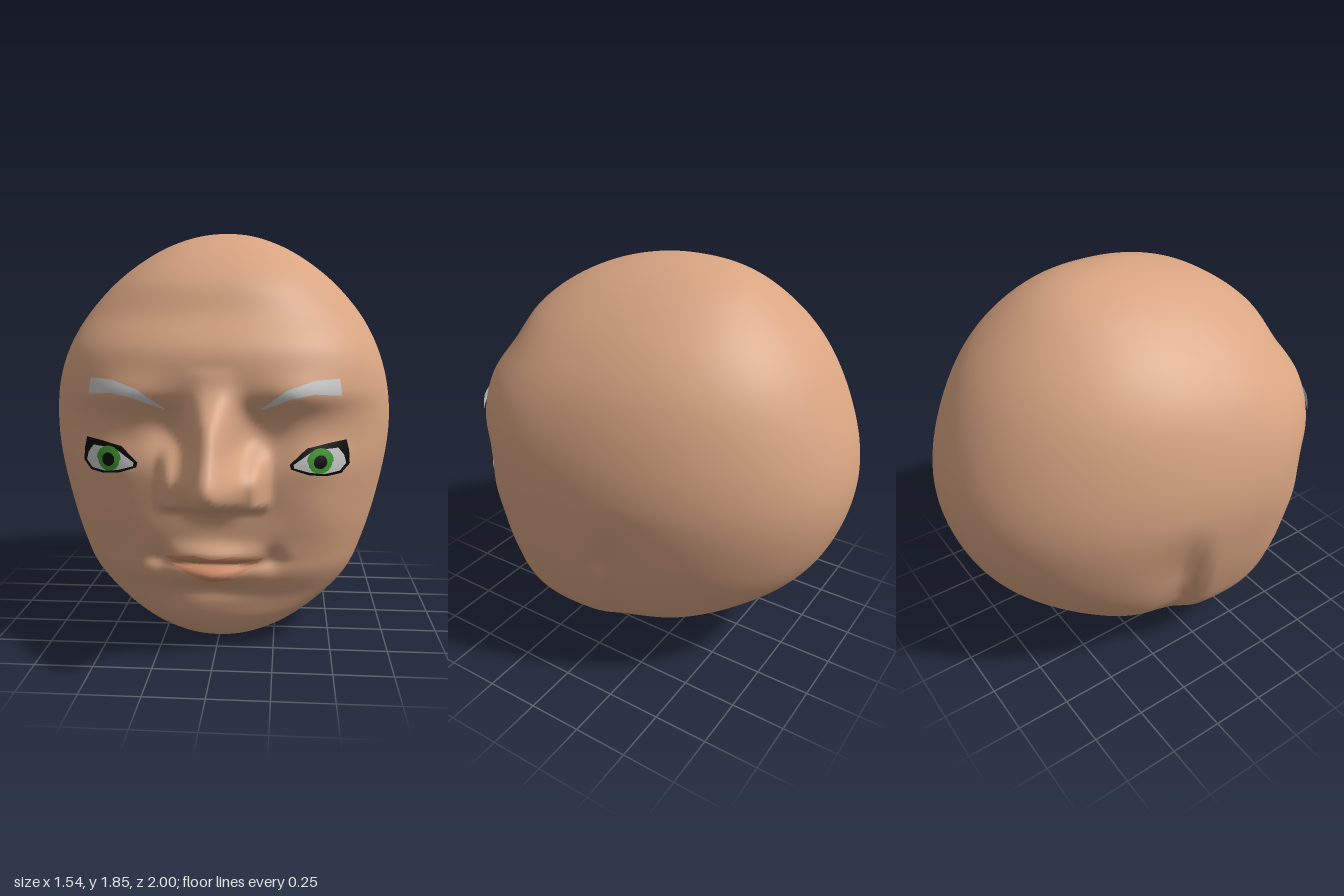
import * as THREE from 'three';

const H = 1.85;
const polar = (y) => Math.acos(1 - 2 * Math.min(Math.max(y / H, 0), 1));
const step = THREE.MathUtils.smoothstep;
const gauss = (x, y, cx, cy, sx, sy) => Math.exp(-(((x - cx) / sx) ** 2) - ((y - cy) / sy) ** 2);

// Smooth curve through [y, value] pairs, spaced by polar angle so both ends round off
function curve(points) {
  const p = points.map(([y, v]) => [polar(y), v]);
  const slope = (i) => {
    const a = p[Math.max(i - 1, 0)], b = p[Math.min(i + 1, p.length - 1)];
    return (b[1] - a[1]) / (b[0] - a[0]);
  };
  return (y) => {
    const t = polar(y);
    let i = 0;
    while (i < p.length - 2 && t > p[i + 1][0]) i++;
    const d = p[i + 1][0] - p[i][0];
    const s = Math.min(Math.max((t - p[i][0]) / d, 0), 1), s2 = s * s, s3 = s2 * s;
    return (2 * s3 - 3 * s2 + 1) * p[i][1] + (s3 - 2 * s2 + s) * d * slope(i)
      + (3 * s2 - 2 * s3) * p[i + 1][1] + (s3 - s2) * d * slope(i + 1);
  };
}

// Head outline by height: half width, widest depth, front and back
const width = curve([[0, 0], [0.03, 0.19], [0.1, 0.36], [0.27, 0.57], [0.455, 0.66], [0.725, 0.735],
  [0.97, 0.77], [1.19, 0.75], [1.4, 0.676], [1.57, 0.555], [1.72, 0.38], [1.82, 0.18], [H, 0]]);
const middle = curve([[0, 0.33], [0.05, 0.23], [0.19, 0.13], [0.5, 0.1], [1.2, 0.08], [1.6, -0.08], [H, -0.18]]);
const front = curve([[0, 0.33], [0.015, 0.4], [0.05, 0.46], [0.14, 0.53], [0.25, 0.56], [0.36, 0.615], [0.44, 0.63],
  [0.55, 0.645], [0.65, 0.65], [0.8, 0.67], [0.95, 0.66], [1.05, 0.67], [1.15, 0.7], [1.31, 0.69],
  [1.46, 0.59], [1.61, 0.5], [1.75, 0.3], [1.82, 0.085], [H, -0.18]]);
const back = curve([[0, 0.33], [0.035, 0.165], [0.05, 0.02], [0.11, -0.235], [0.19, -0.45], [0.32, -0.66], [0.5, -0.85],
  [0.71, -0.957], [0.95, -1], [1.19, -0.957], [1.475, -0.82], [1.7, -0.61], [1.82, -0.4], [H, -0.18]]);
const noseHeight = curve([[0.58, 0], [0.63, 0.02], [0.67, 0.09], [0.73, 0.28], [0.79, 0.33], [0.89, 0.285],
  [1.03, 0.195], [1.14, 0.05], [1.25, 0]]);
const FRONT_POWER = 2.4, BACK_POWER = 2.05;

// Relief of the face, added to its depth
function relief(x, y) {
  const a = Math.abs(x);
  const nostril = 0.13 * step(y, 0.645, 0.7) * (1 - step(y, 0.78, 0.95));
  const ridge = y > 0.58 && y < 1.25 ? Math.max(noseHeight(y) - nostril, 0) : 0;
  let z = ridge * Math.exp(-((a / 0.09) ** 2.5)) + nostril * (1 - step(a, 0.17, 0.245));
  z -= 0.05 * gauss(a, y, 0.19, 0.99, 0.09, 0.1); // inner eye hollow
  z += 0.035 * gauss(a, y, 0.36, 1.14, 0.18, 0.08); // brow
  z += 0.025 * gauss(a, y, 0.44, 0.86, 0.13, 0.1); // eyeball
  z += 0.025 * gauss(a, y, 0.42, 0.66, 0.15, 0.12); // cheek
  z += 0.055 * gauss(a, y, 0, 0.46, 0.17, 0.045); // upper lip
  z += 0.05 * gauss(a, y, 0, 0.37, 0.13, 0.04); // lower lip
  z -= 0.03 * gauss(a, y, 0, 0.42, 0.2, 0.015); // mouth line
  z -= 0.03 * gauss(a, y, 0.24, 0.44, 0.05, 0.05); // mouth corner
  z -= 0.02 * gauss(a, y, 0, 0.28, 0.18, 0.04); // chin fold
  return z;
}

function faceZ(x, y) {
  const r = Math.min(Math.abs(x) / width(y), 1);
  const c = middle(y);
  return c + (front(y) - c) * (1 - r ** FRONT_POWER) ** (1 / FRONT_POWER) + relief(x, y);
}

// Crease behind the jaw, sharp in front and fading to the back
function jawCrease(y, z) {
  const d = z - (-0.21 + (0.95 - y) * 0.15);
  const fade = step(y, 0.12, 0.3) * (1 - step(y, 0.6, 1));
  return 0.05 * fade * Math.exp(-((d / (d > 0 ? 0.04 : 0.17)) ** 2));
}

function gridMesh(name, color, position, index) {
  const g = new THREE.BufferGeometry();
  g.setAttribute('position', new THREE.Float32BufferAttribute(position, 3));
  g.setIndex(index);
  g.computeVertexNormals();
  const mesh = new THREE.Mesh(g, new THREE.MeshStandardMaterial({ color }));
  mesh.name = name;
  return mesh;
}

function makeHead() {
  const rows = 150, frontCols = 128, backCols = 72, cols = frontCols + backCols;
  const position = [], index = [];
  for (let j = 0; j <= rows; j++) {
    const y = H * (1 - Math.cos(Math.PI * j / rows)) / 2;
    const w = Math.max(width(y), 0), c = middle(y);
    for (let i = 0; i < cols; i++) {
      const isFront = i <= frontCols;
      let angle;
      if (isFront) {
        const u = 2 * i / frontCols - 1; // columns gather at the nose
        angle = Math.sign(u) * Math.abs(u) ** 1.25 * Math.PI / 2;
      } else angle = Math.PI / 2 + Math.PI * (i - frontCols) / backCols;
      const e = 2 / (isFront ? FRONT_POWER : BACK_POWER);
      const s = Math.sin(angle), k = Math.abs(Math.cos(angle)) ** e;
      let x = w * Math.sign(s) * Math.abs(s) ** e;
      const z = isFront ? c + (front(y) - c) * k + relief(x, y) * Math.min(k * 2, 1) : c + (back(y) - c) * k;
      x -= Math.sign(x) * Math.min(jawCrease(y, z), Math.abs(x));
      position.push(x, y, z);
      if (j < rows) {
        const a = j * cols + i, b = j * cols + (i + 1) % cols;
        index.push(a, b, b + cols, a, b + cols, a + cols);
      }
    }
  }
  return gridMesh('head', 0xd9a582, position, index);
}

// Thin patch lying on the face between an upper and a lower line of [x, y] points
function facePatch(name, color, upper, lower, lift, side = 1) {
  const sub = 5, down = 6, n = (upper.length - 1) * sub;
  const position = [], index = [];
  const at = (line, i) => {
    const k = Math.min(Math.floor(i / sub), line.length - 2), f = i / sub - k;
    return [0, 1].map((c) => line[k][c] + (line[k + 1][c] - line[k][c]) * f);
  };
  for (let i = 0; i <= n; i++) {
    const p = at(upper, i), q = at(lower, i);
    for (let j = 0; j <= down; j++) {
      const x = p[0] + (q[0] - p[0]) * j / down, y = p[1] + (q[1] - p[1]) * j / down;
      position.push(x * side, y, faceZ(x, y) + lift);
      if (i < n && j < down) {
        const a = i * (down + 1) + j, b = a + down + 1;
        if (side > 0) index.push(a, a + 1, b, b, a + 1, b + 1);
        else index.push(a, b, a + 1, b, b + 1, a + 1);
      }
    }
  }
  const mesh = gridMesh(name, color, position, index);
  mesh.material.side = THREE.DoubleSide;
  return mesh;
}

function arc(cx, cy, r, sign) {
  return Array.from({ length: 9 }, (_, i) => {
    const t = Math.PI * (1 - i / 8);
    return [cx + r * Math.cos(t), cy + sign * r * Math.sin(t)];
  });
}

export function createModel() {
  const model = new THREE.Group();
  model.add(makeHead());

  for (const [side, label] of [[1, 'left'], [-1, 'right']]) {
    const eye = new THREE.Group();
    eye.name = label + 'Eye';
    eye.add(
      facePatch('eyeRim', 0x080808, [[0.315, 0.855], [0.385, 0.92], [0.47, 0.937], [0.55, 0.947], [0.562, 0.9]],
        [[0.32, 0.835], [0.395, 0.81], [0.47, 0.802], [0.53, 0.808], [0.566, 0.845]], 0.008, side),
      facePatch('eyeWhite', 0xeeeeee, [[0.33, 0.855], [0.395, 0.9], [0.46, 0.915], [0.515, 0.917], [0.54, 0.885]],
        [[0.333, 0.84], [0.4, 0.821], [0.46, 0.813], [0.522, 0.82], [0.55, 0.85]], 0.013, side),
      facePatch('iris', 0x3f9a30, arc(0.44, 0.865, 0.056, 1), arc(0.44, 0.865, 0.05, -1), 0.018, side),
      facePatch('pupil', 0x080808, arc(0.44, 0.865, 0.028, 1), arc(0.44, 0.865, 0.028, -1), 0.023, side),
    );
    model.add(eye);
    model.add(facePatch(label + 'Eyebrow', 0xcccccc, [[0.195, 1.085], [0.3, 1.165], [0.41, 1.2], [0.515, 1.205]],
      [[0.2, 1.08], [0.32, 1.13], [0.41, 1.147], [0.525, 1.135]], 0.018, side));
  }

  // Lips
  model.add(facePatch('upperLip', 0xd08c68, [[-0.2, 0.45], [-0.08, 0.468], [0, 0.455], [0.08, 0.468], [0.2, 0.45]],
    [[-0.21, 0.44], [-0.08, 0.42], [0, 0.418], [0.08, 0.42], [0.21, 0.44]], 0.005));
  model.add(facePatch('lowerLip', 0xd08c68, [[-0.19, 0.43], [-0.08, 0.416], [0, 0.414], [0.08, 0.416], [0.19, 0.43]],
    [[-0.18, 0.415], [-0.08, 0.365], [0, 0.345], [0.08, 0.365], [0.18, 0.415]], 0.005));
  return model;
}
